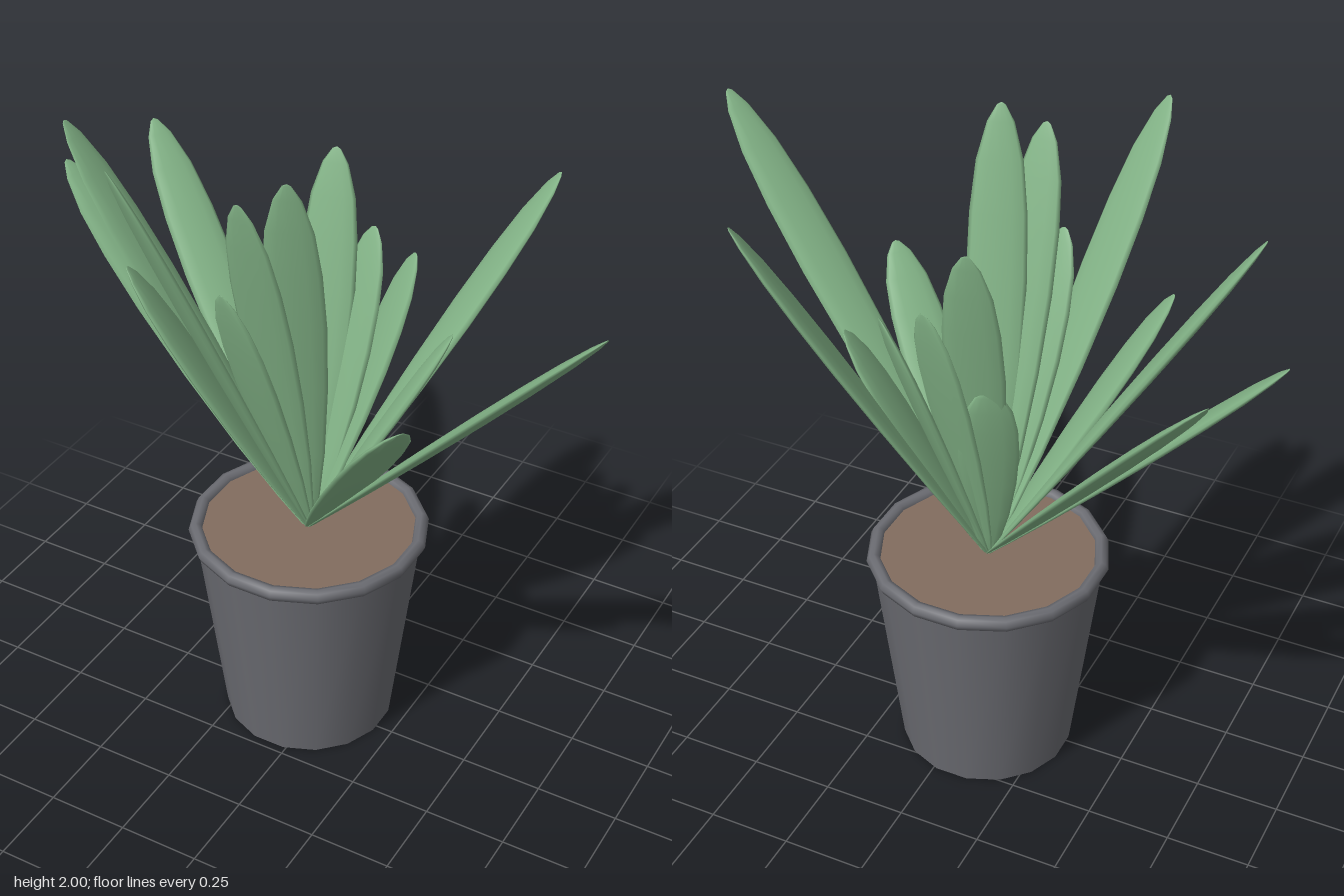
import * as THREE from 'three';

const SIDES = 16;
const CX = -0.06, CZ = -0.03;

// Leaf tips; every leaf grows from the middle of the soil
const TIPS = [
  [-0.37, 2.0, 0.45], [0.04, 1.98, 0.25], [-0.07, 1.92, 0.31], [-0.8, 1.86, 0.04],
  [0.94, 1.82, 0.29], [0.5, 1.82, -0.43], [-0.11, 1.81, -0.28], [-0.94, 1.62, -0.14],
  [-0.83, 1.65, -0.44], [-0.51, 1.55, 0.19], [0.15, 1.55, -0.27], [-0.14, 1.62, 0.29],
  [0.43, 1.41, 0.35], [0.33, 1.4, -0.15], [-0.13, 1.35, -0.18], [0.02, 1.6, -0.27],
];

// Half width of a leaf along its length
const LEAF_PROFILE = [
  [0, 0], [0.016, 0.01], [0.036, 0.1], [0.06, 0.25], [0.079, 0.45], [0.086, 0.63],
  [0.081, 0.77], [0.066, 0.88], [0.038, 0.96], [0.012, 0.995], [0, 1],
];

function lathe(points, sides) {
  return new THREE.LatheGeometry(points.map(([r, y]) => new THREE.Vector2(r, y)), sides);
}

// Flattened blade from base to tip, broad side facing up and inward
function leafGeometry(base, tip) {
  const along = tip.clone().sub(base);
  const length = along.length();
  along.normalize();
  const across = new THREE.Vector3(along.z, 0, -along.x).normalize();
  const normal = new THREE.Vector3().crossVectors(across, along);
  const geometry = lathe(LEAF_PROFILE, 12);
  geometry.scale(1, length, 0.2);
  geometry.applyMatrix4(new THREE.Matrix4().makeBasis(across, along, normal).setPosition(base));
  return geometry;
}

export function createModel() {
  const material = (name, color) => {
    const m = new THREE.MeshStandardMaterial({ color });
    m.name = name;
    return m;
  };
  const green = material('leafGreen', 0x84b588);
  const grey = material('potGrey', 0x6b6c72);
  const brown = material('soilBrown', 0x826d5f);

  const model = new THREE.Group();
  model.name = 'pottedPlant';
  const add = (name, geometry, mat, parent = model) => {
    const mesh = new THREE.Mesh(geometry, mat);
    mesh.name = name;
    parent.add(mesh);
    return mesh;
  };

  // Pot: tapered body, rolled rim and soil
  const pot = new THREE.Group();
  pot.name = 'pot';
  pot.position.set(CX, 0, CZ);
  pot.rotation.y = Math.PI / SIDES;
  model.add(pot);
  add('potBody', new THREE.CylinderGeometry(0.342, 0.26, 0.67, SIDES).translate(0, 0.335, 0), grey, pot);
  add('potRim', lathe([
    [0.335, 0.655], [0.352, 0.66], [0.36, 0.678], [0.352, 0.695], [0.338, 0.7],
    [0.324, 0.695], [0.318, 0.68], [0.318, 0.66],
  ], SIDES), grey, pot);
  add('soil', new THREE.CylinderGeometry(0.322, 0.322, 0.012, SIDES).translate(0, 0.677, 0), brown, pot);

  // Leaves
  const leaves = new THREE.Group();
  leaves.name = 'leaves';
  model.add(leaves);
  const base = new THREE.Vector3(CX, 0.67, CZ);
  TIPS.forEach((tip, i) => add(`leaf${i + 1}`, leafGeometry(base, new THREE.Vector3(...tip)), green, leaves));

  return model;
}
